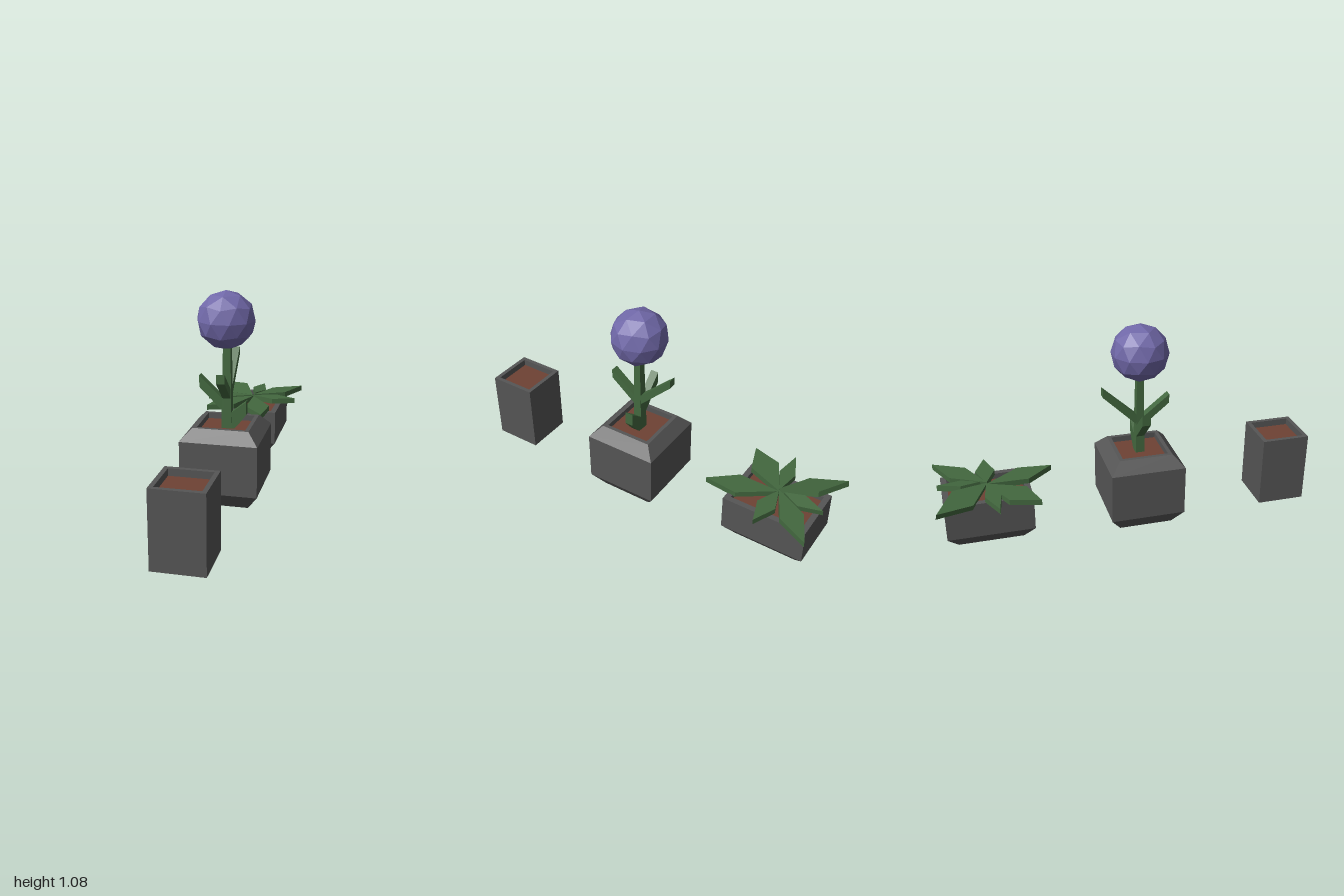
import * as THREE from 'three';

const material = (color) => new THREE.MeshStandardMaterial({ color, flatShading: true });

// Rectangular rings joined upward; each profile point is [inset from half size, y]
function loft(hx, hz, profile) {
  const corners = [[1, 1], [1, -1], [-1, -1], [-1, 1]];
  const point = ([inset, y], k) => [
    corners[k % 4][0] * Math.max(0, hx - inset), y,
    corners[k % 4][1] * Math.max(0, hz - inset)];
  const pos = [];
  for (let i = 0; i < profile.length - 1; i++) {
    for (let k = 0; k < 4; k++) {
      const a = point(profile[i], k), b = point(profile[i], k + 1);
      const c = point(profile[i + 1], k + 1), d = point(profile[i + 1], k);
      pos.push(...a, ...b, ...c, ...a, ...c, ...d);
    }
  }
  const geometry = new THREE.BufferGeometry();
  geometry.setAttribute('position', new THREE.Float32BufferAttribute(pos, 3));
  geometry.computeVertexNormals();
  return geometry;
}

function extrude(points, depth) {
  const shape = new THREE.Shape(points.map(([x, y]) => new THREE.Vector2(x, y)));
  return new THREE.ExtrudeGeometry(shape, { depth, bevelEnabled: false });
}

export function createModel() {
  const model = new THREE.Group();
  const potMat = material(0x555555), soilMat = material(0x6e4234);
  const green = material(0x43683f), purple = material(0x7068a8);

  const add = (parent, name, geometry, mat) => {
    const mesh = new THREE.Mesh(geometry, mat);
    mesh.name = name;
    parent.add(mesh);
    return mesh;
  };

  // Pot shell with a rim, recessed opening and soil
  function pot(name, x, z, hx, hz, outer, rim, recess) {
    const group = new THREE.Group();
    group.name = name;
    group.position.set(x, 0, z);
    const [topInset, topY] = outer[outer.length - 1];
    const inner = topInset + rim;
    const soilY = topY - recess;
    add(group, 'potShell', loft(hx, hz,
      [[1, outer[0][1]], ...outer, [inner, topY], [inner, soilY]]), potMat);
    const soil = new THREE.PlaneGeometry(2 * (hx - inner), 2 * (hz - inner)).rotateX(-Math.PI / 2);
    add(group, 'soil', soil, soilMat).position.y = soilY;
    model.add(group);
    return group;
  }

  pot('tallPot', 0.02, 0.87, 0.127, 0.128, [[0, 0.02], [0, 0.4]], 0.022, 0.035);
  const flowerPot = pot('flowerPot', 0.022, 0.085, 0.198, 0.196,
    [[0.055, 0], [0, 0.08], [0, 0.345], [0.055, 0.405]], 0.02, 0.03);
  const leafPot = pot('lowPot', 0.02, -0.73, 0.155, 0.223,
    [[0.055, 0.015], [0, 0.085], [0, 0.275]], 0.03, 0.03);

  // Ball flower on a tapering stem
  const flower = new THREE.Group();
  flower.name = 'flower';
  flower.position.x = 0.005;
  flowerPot.add(flower);
  add(flower, 'stem', loft(0.026, 0.024, [[0, 0.36], [0.007, 0.82]]), green);
  const ball = new THREE.IcosahedronGeometry(0.148, 1).rotateX(-Math.atan(1.618034));
  add(flower, 'blossom', ball, purple).position.set(-0.006, 0.931, 0);

  // Stem leaves: direction, then [r, low y, high y] at root and tip
  const stemLeaves = [
    [0, [0, 0.33, 0.44], [0.1, 0.45, 0.52]],
    [Math.PI, [0, 0.445, 0.51], [0.141, 0.585, 0.645]],
    [-Math.PI / 2, [0, 0.515, 0.565], [0.155, 0.643, 0.69]],
    [Math.PI / 2, [0, 0.52, 0.575], [0.197, 0.71, 0.753]],
  ];
  stemLeaves.forEach(([angle, root, tip], i) => {
    const points = [[root[0], root[1]], [tip[0], tip[1]], [tip[0], tip[2]], [root[0], root[2]]];
    // The low side leaf has a cut-back underside
    if (i === 0) points.splice(1, 0, [0.066, 0.405]);
    const w = 0.043;
    add(flower, 'stemLeaf', extrude(points, w).translate(0, 0, -w / 2), green).rotation.y = angle;
  });

  // Rosette of flat kite leaves: [tip x, tip z, half width, widest at, y, start, roll]
  const rosette = new THREE.Group();
  rosette.name = 'rosette';
  rosette.position.set(-0.015, 0, 0.002);
  leafPot.add(rosette);
  const kites = [
    [-0.242, -0.27, 0.072, 0.5, 0.283, 0, -0.25],
    [0.257, -0.257, 0.062, 0.52, 0.282, 0, 0],
    [0.02, -0.247, 0.04, 0.45, 0.286, 0.03, 0.15],
    [0.252, 0.013, 0.05, 0.5, 0.278, 0, 0],
    [0.11, 0.353, 0.068, 0.56, 0.272, 0, 0],
    [-0.23, 0.248, 0.075, 0.58, 0.274, 0, 0],
    [-0.27, 0.038, 0.042, 0.5, 0.28, 0, 0],
  ];
  for (const [x, z, half, mid, y, start, roll] of kites) {
    const length = Math.hypot(x, z), m = start + (length - start) * mid;
    const blade = extrude([[start, 0], [m, -half], [length, 0], [m, half]], 0.03)
      .rotateX(-Math.PI / 2).rotateX(roll);
    const leaf = add(rosette, 'rosetteLeaf', blade, green);
    leaf.position.y = y;
    leaf.rotation.y = Math.atan2(-z, x);
  }

  return model;
}
